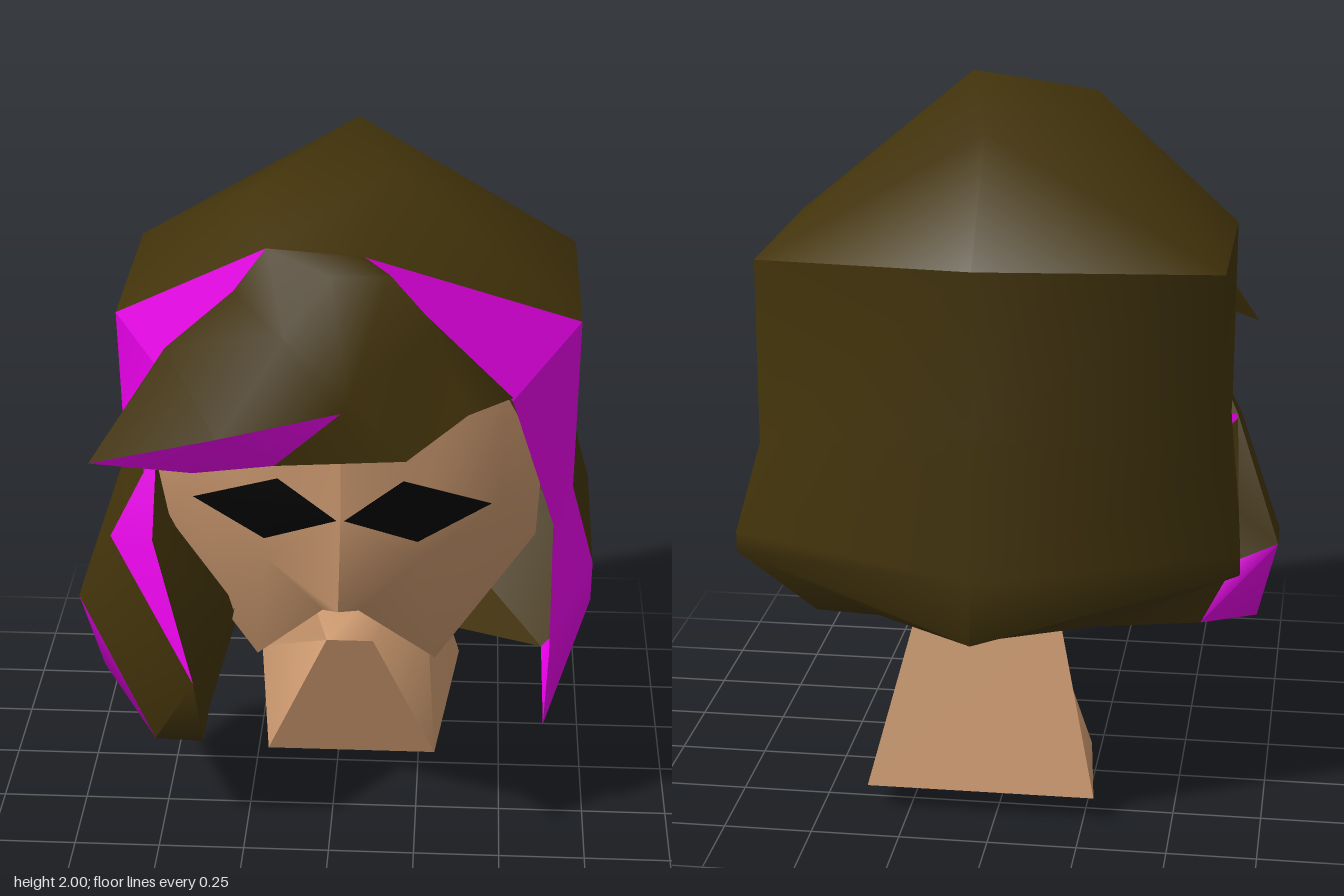
import * as THREE from 'three';
import { toCreasedNormals } from 'three/addons/utils/BufferGeometryUtils.js';

const material = (name, color) => {
  const m = new THREE.MeshStandardMaterial({ color, side: THREE.DoubleSide });
  m.name = name;
  return m;
};

// Mesh from named corner points and a list of triangles such as 'a b c, b d c'
function patch(name, mat, points, faces, flip = false) {
  const pos = [];
  for (const face of faces.split(',')) {
    const keys = face.trim().split(' ');
    if (flip) keys.reverse();
    for (const k of keys) pos.push(...points[k]);
  }
  return finish(name, mat, pos);
}

// Mesh of quads joining neighbouring columns of points
function columns(name, mat, cols) {
  const pos = [];
  for (let c = 0; c + 1 < cols.length; c++) {
    const p = cols[c], q = cols[c + 1];
    for (let r = 0; r + 1 < p.length; r++) {
      pos.push(...p[r], ...q[r], ...p[r + 1], ...q[r], ...q[r + 1], ...p[r + 1]);
    }
  }
  return finish(name, mat, pos);
}

function finish(name, mat, pos) {
  const g = new THREE.BufferGeometry();
  g.setAttribute('position', new THREE.Float32BufferAttribute(pos, 3));
  const mesh = new THREE.Mesh(toCreasedNormals(g, 1.25), mat);
  mesh.name = name;
  return mesh;
}

// Mirror about the head's centre line, x = 0.04
const mirror = (pts) => Object.fromEntries(
  Object.entries(pts).map(([k, [x, y, z]]) => [k, [0.08 - x, y, z]]));

export function createModel() {
  const model = new THREE.Group();
  model.name = 'head';
  const brown = material('dark brown hair', 0x42330a);
  const pink = material('magenta streak', 0xf500f5);
  const skin = material('skin', 0xc8966d);
  const black = material('eye black', 0x020202);

  // Face halves and eyes
  const face = {
    brow: [0.04, 1.62, 0.6], hairline: [0.36, 1.6, 0.5], temple: [0.48, 1.46, 0.455],
    bridge: [0.04, 1.14, 0.6], eye: [0.25, 1.16, 0.59], eyeEnd: [0.47, 1.15, 0.5],
    ear: [0.59, 1.2, 0.32], jawEnd: [0.58, 0.94, 0.26], jaw: [0.3, 0.53, 0.27],
    nose: [0.04, 0.92, 0.72], lip: [0.09, 0.85, 0.58], cheek: [0.25, 1.0, 0.56],
  };
  const faceTris = `brow bridge eye, brow eye hairline, hairline eye temple, temple eye eyeEnd,
    temple eyeEnd ear, ear eyeEnd jawEnd, eyeEnd jaw jawEnd, bridge nose cheek, nose lip cheek,
    lip jaw cheek, bridge cheek eye, eye cheek eyeEnd, cheek jaw eyeEnd`;
  const eye = {
    inner: [0.05, 1.14, 0.608], top: [0.21, 1.26, 0.599], outer: [0.45, 1.16, 0.518],
    bottom: [0.25, 1.07, 0.584], mid: [0.25, 1.16, 0.599],
  };
  const eyeTris = 'inner mid top, mid outer top, inner bottom mid, bottom outer mid';
  model.add(
    patch('leftFace', skin, face, faceTris),
    patch('rightFace', skin, mirror(face), faceTris, true),
    patch('leftEye', black, eye, eyeTris),
    patch('rightEye', black, mirror(eye), eyeTris, true),
  );

  // Four-sided leaning neck
  const neck = {
    a: [-0.22, 0, -0.06], b: [0.3, 0, -0.06], c: [0.37, 0.07, -0.58], d: [-0.28, 0.07, -0.58],
    e: [-0.03, 0.46, 0.06], f: [0.11, 0.46, 0.06], g: [0.25, 0.54, -0.45], h: [-0.17, 0.54, -0.45],
  };
  model.add(patch('neck', skin, neck, `a b f, a f e, b c g, b g f, c d h, c h g,
    d a e, d e h, a d c, a c b, e f g, e g h`));

  // Hair shell: columns from the left front edge round the back to the right front edge
  const left = [[0.69, 1.57, 0.2], [0.69, 1.0, 0.07], [0.76, 0.73, 0.03], [0.76, 0.59, 0], [0.62, 0.39, -0.06]];
  const backLeft = [[0.69, 1.57, -0.43], [0.69, 1.04, -0.43], [0.76, 0.78, -0.46], [0.76, 0.72, -0.46], [0.36, 0.53, -0.42]];
  const back = [[0.04, 1.63, -0.72], [0.04, 1.17, -0.72], [0.04, 0.78, -0.78], [0.04, 0.6, -0.78], [0.04, 0.58, -0.7]];
  const backRight = [[-0.61, 1.57, -0.43], [-0.61, 1.04, -0.43], [-0.67, 0.78, -0.46], [-0.67, 0.72, -0.46], [-0.27, 0.53, -0.42]];
  const right = [[-0.61, 1.57, 0.2], [-0.61, 1.0, 0.1], [-0.64, 0.73, 0.05], [-0.64, 0.59, 0], [-0.54, 0.41, -0.06]];
  model.add(columns('hairShell', brown, [left, backLeft, back, backRight, right]));

  // Crown and underside of the hair
  const crown = {
    L: left[0], BL: backLeft[0], B: back[0], BR: backRight[0], R: right[0],
    peak: [0.17, 2, 0.2], side: [-0.22, 1.93, 0.15], rear: [0.04, 1.94, -0.46],
    fl: [0.1, 1.87, 0.52], fr: [-0.16, 1.89, 0.52],
  };
  model.add(patch('crown', brown, crown, `fl L peak, peak L BL, peak BL rear, rear BL B,
    rear B BR, rear BR side, side BR R, fr side R, peak rear side, fr peak side, fl peak fr`));
  const under = {
    L: left[4], BL: backLeft[4], B: back[4], BR: backRight[4], R: right[4], mid: [0.04, 0.47, -0.15],
  };
  model.add(patch('hairUnderside', brown, under, 'L mid BL, BL mid B, B mid BR, BR mid R'));

  // Magenta streaks along both front edges
  const leftInner = [[0.5, 1.44, 0.46], [0.63, 0.97, 0.26], [0.63, 0.72, 0.3], [0.63, 0.59, 0.33], [0.62, 0.35, 0.33]];
  const rightInner = [[-0.42, 1.44, 0.44], [-0.59, 0.97, 0.29], [-0.6, 0.72, 0.28]];
  model.add(
    columns('leftStreak', pink, [leftInner, left]),
    patch('leftStreakTip', pink, { t: crown.fl, i: leftInner[0], o: left[0] }, 't i o'),
    columns('rightStreak', pink, [right.slice(0, 3), rightInner]),
    patch('rightStreakTip', pink, { t: crown.fr, i: rightInner[0], o: right[0] }, 't o i'),
  );

  // Swept fringe with a streak along its lower edge
  const fringe = {
    a: crown.fr, b: [0.02, 1.87, 0.66], c: [0.17, 1.86, 0.62], d: crown.fl, s: [-0.25, 1.76, 0.5],
    e: [-0.45, 1.55, 0.4], f: [-0.1, 1.72, 0.73], g: [0.07, 1.58, 0.78], h: [0.3, 1.7, 0.6],
    i: [-0.67, 1.21, 0.43], j: [-0.28, 1.44, 0.75], k: [0.05, 1.53, 0.765], l: [0.22, 1.39, 0.75],
    m: [0.38, 1.5, 0.69], n: [0.5, 1.45, 0.46], o: [-0.13, 1.35, 0.71], p: [-0.36, 1.27, 0.6],
    q: [-0.42, 1.4, 0.46], r: [0.04, 1.45, 0.58],
  };
  model.add(
    patch('fringe', brown, fringe, `a s f, s e f, e i j, e j f, f j k, f k g, a f b, b f g,
      b g c, c g h, g l h, g k l, k o l, h l m, h m n, c h d, d h n, a b d, b c d`),
    patch('fringeUnderside', brown, fringe, 'i q p, p q o, o q r, o r l, l r m, m r n, e q i'),
    patch('fringeStreak', pink, fringe, 'i p j, p o j, o k j'),
  );

  // Hanging lock on the right: a tip and three rings (outer back, outer front, inner front, inner back),
  // joined to the lower right edge of the hair
  const lock = {
    tip: [-0.49, 1.22, 0.34],
    a1: [-0.63, 1.03, 0.05], b1: [-0.63, 0.94, 0.34], c1: [-0.5, 0.97, 0.42], d1: [-0.38, 0.97, 0.25],
    a2: [-0.76, 0.64, 0.02], b2: [-0.76, 0.64, 0.15], c2: [-0.38, 0.58, 0.55], d2: [-0.28, 0.72, 0.36],
    a3: [-0.7, 0.38, 0.1], b3: [-0.51, 0.32, 0.42], c3: [-0.37, 0.32, 0.43], d3: [-0.37, 0.32, 0.22],
    r2: right[2], r3: right[3], r4: right[4], br: backRight[4],
  };
  model.add(
    patch('rightLock', brown, lock, `tip a1 b1, tip c1 d1, tip d1 a1,
      a1 a2 b2, a1 b2 b1, b1 b2 c2, c1 c2 d2, c1 d2 d1, a1 r2 a2, r2 r3 a2,
      b2 b3 c2, b3 c3 c2, c2 c3 d3, c2 d3 d2, b3 d3 c3, d3 br d2, d3 r4 br`),
    patch('rightLockStreak', pink, lock, 'tip b1 c1, b1 c2 c1'),
    patch('rightLockEnd', pink, lock, `a2 a3 b2, a3 b3 b2, a3 d3 b3,
      a2 r3 r4, a2 r4 a3, a3 r4 d3`),
  );
  return model;
}
